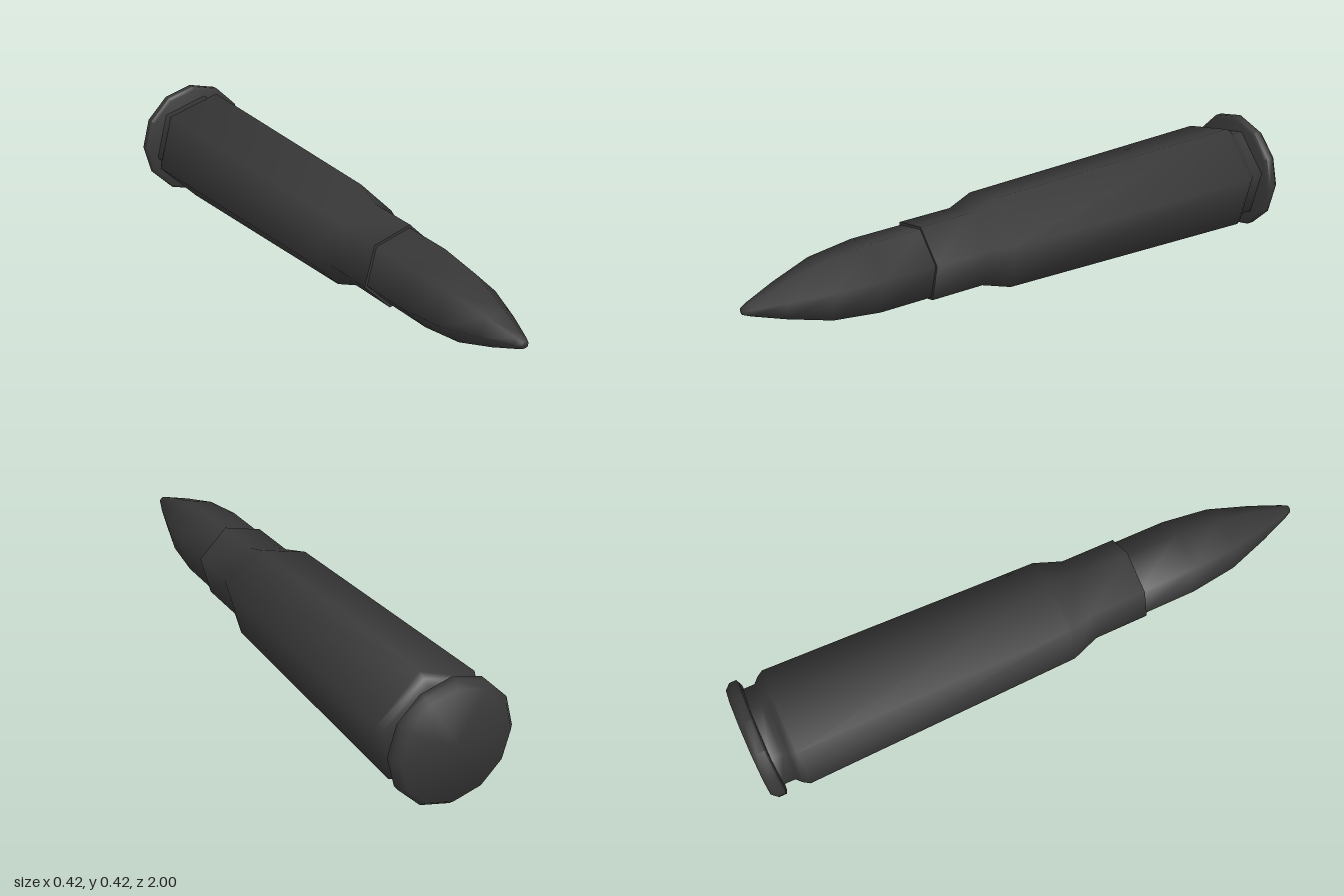
import * as THREE from 'three';
import { toCreasedNormals } from 'three/addons/utils/BufferGeometryUtils.js';

const AXIS_HEIGHT = 0.208;

// Turned part along z; profile is [radius, z] from back to front
function turned(name, profile, sides, phiStart, material) {
  const points = profile.map(([r, z]) => new THREE.Vector2(r, z));
  const lathe = new THREE.LatheGeometry(points, sides, phiStart);
  lathe.rotateX(Math.PI / 2);
  const mesh = new THREE.Mesh(toCreasedNormals(lathe, THREE.MathUtils.degToRad(68)), material);
  mesh.name = name;
  mesh.position.y = AXIS_HEIGHT;
  return mesh;
}

export function createModel() {
  const group = new THREE.Group();
  group.name = 'cartridge';
  const material = new THREE.MeshStandardMaterial({ color: 0x383838 });
  const hexStart = Math.PI / 4;

  // Twelve-sided rim with a chamfered base
  group.add(turned('rim', [
    [0, -1], [0.19, -1], [0.208, -0.98], [0.208, -0.956], [0.195, -0.95], [0, -0.95],
  ], 12, 0, material));

  // Six-sided case: extractor groove, tapered body, shoulder, neck and mouth
  group.add(turned('case', [
    [0.17, -0.955], [0.17, -0.91], [0.188, -0.892], [0.202, -0.87],
    [0.176, 0.1], [0.142, 0.195], [0.141, 0.385], [0.125, 0.385],
  ], 6, hexStart, material));

  // Six-sided bullet with a small blunt tip
  group.add(turned('bullet', [
    [0.131, 0.37], [0.13, 0.57], [0.11, 0.73], [0.064, 0.87],
    [0.023, 0.975], [0.012, 0.997], [0, 1],
  ], 6, hexStart, material));

  return group;
}
